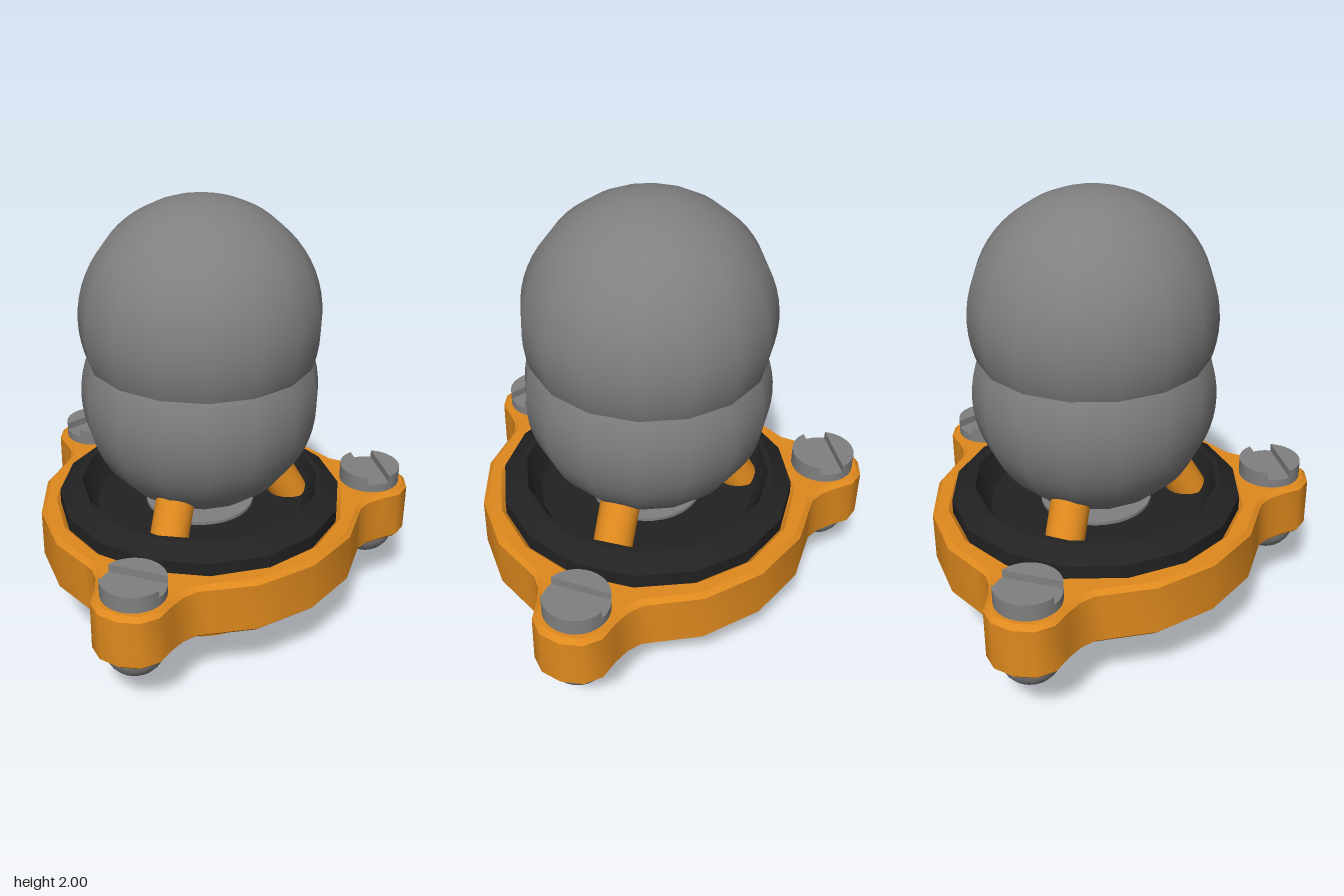
import * as THREE from 'three';
import { toCreasedNormals } from 'three/addons/utils/BufferGeometryUtils.js';

const mat = (color) => new THREE.MeshStandardMaterial({ color });
const orange = mat(0xe08a1e), black = mat(0x222222), grey = mat(0x808080);
const V = (x, y) => new THREE.Vector2(x, y);
const SCREW_R = 0.83; // distance of the screws from the axis

function add(parent, name, geometry, material, x = 0, y = 0, z = 0) {
  const mesh = new THREE.Mesh(geometry, material);
  mesh.name = name;
  mesh.position.set(x, y, z);
  parent.add(mesh);
  return mesh;
}

// Turned part, profile listed from bottom to top on the outside
function lathe(points, segments) {
  return toCreasedNormals(new THREE.LatheGeometry(points.map((p) => V(...p)), segments), 0.6);
}

// Flat shape extruded between two heights, with chamfered edges
function slab(shape, bottom, top, bevel) {
  const g = new THREE.ExtrudeGeometry(shape, {
    depth: top - bottom - 2 * bevel, bevelEnabled: bevel > 0, bevelSize: bevel,
    bevelThickness: bevel, bevelOffset: -bevel, bevelSegments: 1, curveSegments: 16,
  });
  g.rotateX(Math.PI / 2).translate(0, top - bevel, 0);
  return toCreasedNormals(g, 0.7);
}

// Three-lobed outline: half a lobe, mirrored and turned three times
function flangeGeometry() {
  const half = [[0.09, 0.99], [0.15, 0.93], [0.17, 0.84], [0.195, 0.77],
    [0.235, 0.715], [0.29, 0.683], [0.46, 0.587]];
  const lobe = [
    ...half.slice().reverse().map(([x, y]) => V(-x, y)),
    V(0, 1.01),
    ...half.map(([x, y]) => V(x, y)),
    V(0.641, 0.37),
  ];
  const outline = [];
  for (let i = 0; i < 3; i++) {
    for (const p of lobe) outline.push(p.clone().rotateAround(V(0, 0), -i * Math.PI * 2 / 3));
  }
  const shape = new THREE.Shape(outline);
  const hole = [];
  for (let i = 0; i < 16; i++) {
    const a = i * Math.PI / 8;
    hole.push(V(0.65 * Math.cos(a), 0.65 * Math.sin(a)));
  }
  shape.holes.push(new THREE.Path(hole));
  return slab(shape, 0.325, 0.585, 0.02);
}

// Slotted screw with a domed lower end
function screw() {
  const g = new THREE.Group();
  g.name = 'screw';
  add(g, 'screwHead', new THREE.CylinderGeometry(0.14, 0.14, 0.06, 32), grey, 0, 0.595);
  const a = Math.asin(0.052 / 0.14);
  for (const turn of [0, Math.PI]) {
    const cap = new THREE.Shape().absarc(0, 0, 0.14, turn + a, turn + Math.PI - a, false);
    add(g, 'screwSlotSide', slab(cap, 0.625, 0.66, 0), grey);
  }
  add(g, 'screwDome', new THREE.SphereGeometry(0.135, 24, 16), grey, 0, 0.33);
  return g;
}

export function createModel() {
  const model = new THREE.Group();
  model.name = 'model';
  const body = new THREE.Group();
  body.name = 'body';
  body.position.z = -0.14;
  model.add(body);

  // Two overlapping balls
  add(body, 'lowerBall', new THREE.SphereGeometry(0.53, 16, 32), grey, 0, 1.12);
  add(body, 'upperBall', new THREE.SphereGeometry(0.53, 16, 32), grey, 0, 1.47);

  // Dished black seat inside the flange
  add(body, 'seat', lathe([
    [0, 0.285], [0.62, 0.285], [0.65, 0.3], [0.65, 0.63], [0.57, 0.685],
    [0.545, 0.685], [0.51, 0.6], [0.48, 0.57], [0, 0.57],
  ], 16), black);
  add(body, 'flange', flangeGeometry(), orange);

  // Central post and hollow foot
  add(body, 'post', new THREE.CylinderGeometry(0.25, 0.25, 0.38, 32), grey, 0, 0.395);
  add(body, 'foot', lathe([
    [0, 0.19], [0.27, 0.19], [0.27, 0.02], [0.28, 0], [0.32, 0], [0.34, 0.015],
    [0.35, 0.06], [0.35, 0.2], [0.34, 0.24], [0.32, 0.255], [0, 0.255],
  ], 32), orange);

  // Screws and slanted pegs, one of each per lobe
  for (let i = 0; i < 3; i++) {
    const arm = new THREE.Group();
    arm.name = 'arm';
    arm.rotation.y = i * Math.PI * 2 / 3;
    const s = screw();
    s.position.z = SCREW_R;
    const peg = add(arm, 'peg', new THREE.CylinderGeometry(0.085, 0.085, 0.4, 24), orange, 0, 0.68, 0.365);
    peg.rotation.x = -Math.PI / 6;
    arm.add(s);
    body.add(arm);
  }
  return model;
}
